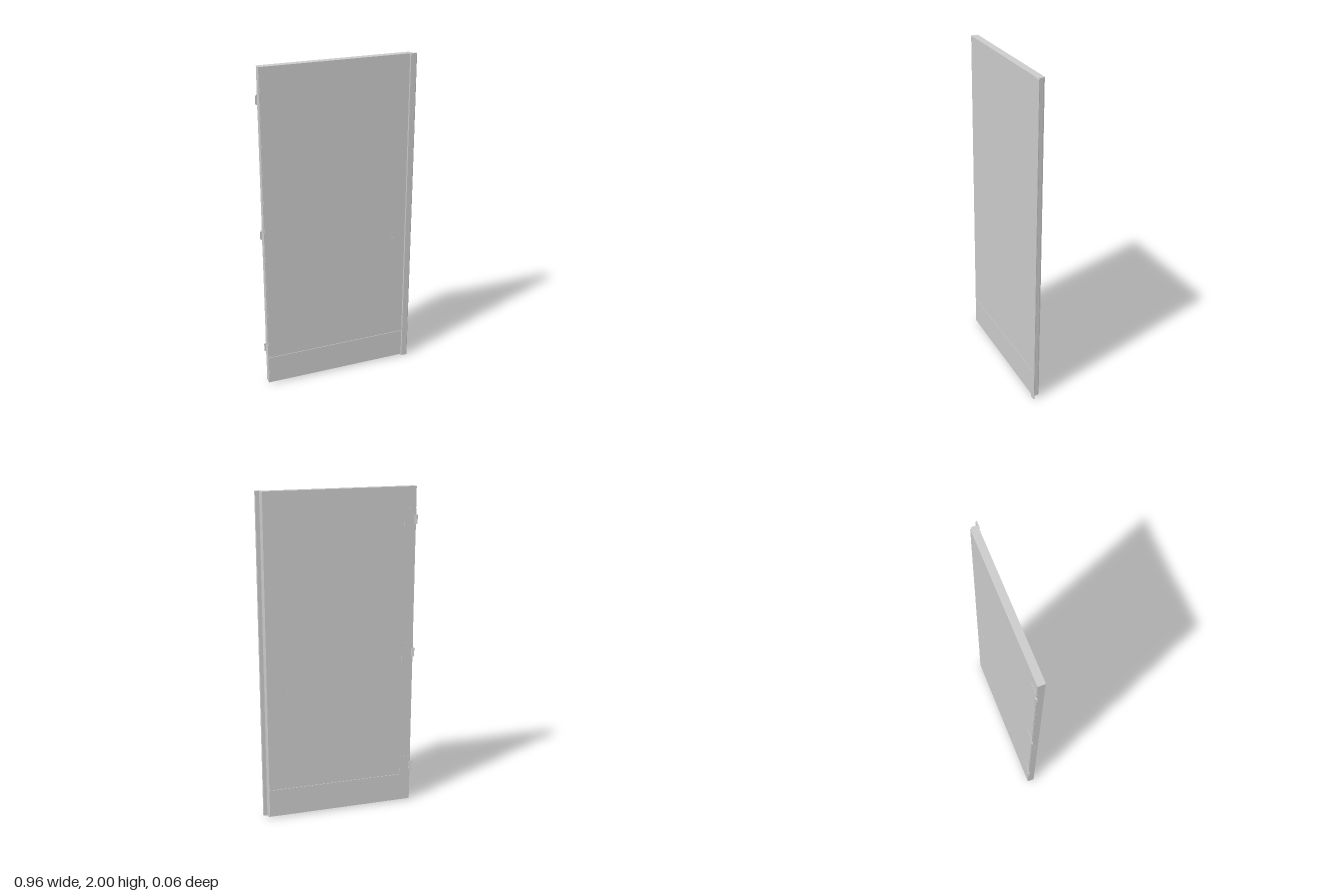
import * as THREE from 'three';

const material = new THREE.MeshStandardMaterial({ color: 0xcccccc, flatShading: true });

export function createModel() {
  const door = new THREE.Group();
  door.name = 'door';

  const add = (name, geometry, parent = door) => {
    const mesh = new THREE.Mesh(geometry, material);
    mesh.name = name;
    parent.add(mesh);
    return mesh;
  };
  // Box given by its lower and upper corners
  const box = (name, [x0, y0, z0], [x1, y1, z1], parent) => {
    const mesh = add(name, new THREE.BoxGeometry(x1 - x0, y1 - y0, z1 - z0), parent);
    mesh.position.set((x0 + x1) / 2, (y0 + y1) / 2, (z0 + z1) / 2);
    return mesh;
  };
  // Outline in plan (x, z) raised from y0 to y1, with an optional hole
  const plan = (name, points, y0, y1, hole, parent) => {
    const toPath = (list) => list.map(([x, z]) => new THREE.Vector2(x, -z));
    const shape = new THREE.Shape(toPath(points));
    if (hole) shape.holes.push(new THREE.Path(toPath(hole)));
    const geometry = new THREE.ExtrudeGeometry(shape, { depth: y1 - y0, bevelEnabled: false });
    geometry.rotateX(-Math.PI / 2);
    geometry.translate(0, y0, 0);
    return add(name, geometry, parent);
  };

  // Slab with a chamfered closing edge and a groove along the bottom
  const outline = [
    [-0.471, -0.018], [0.445, -0.018], [0.454, -0.011],
    [0.454, 0.012], [0.449, 0.019], [-0.471, 0.019],
  ];
  const groove = [[-0.463, -0.011], [0.442, -0.011], [0.442, 0.012], [-0.463, 0.012]];
  plan('slab', outline, 0.02, 2);
  plan('bottomRim', outline, 0.006, 0.02, groove);

  // Thin face sheets and the kick plates below them
  for (const [side, z0, z1, right] of [['front', 0.019, 0.0225, 0.437], ['back', -0.0215, -0.018, 0.445]]) {
    box(side + 'Sheet', [-0.468, 0.187, z0], [right, 2, z1]);
    box(side + 'KickPlate', [-0.468, 0.008, z0], [right, 0.184, z1]);
  }

  // Overlapping strip on the closing edge
  plan('edgeStrip', [
    [0.436, 0.019], [0.474, 0.019], [0.478, 0.022],
    [0.478, 0.026], [0.475, 0.028], [0.44, 0.028], [0.436, 0.025],
  ], 0, 2);

  // Hinges on the back: flat leaf and a slanted knuckle with a pin
  for (const y of [0.24, 0.995, 1.808]) {
    const hinge = new THREE.Group();
    hinge.name = 'hinge';
    hinge.position.y = y;
    door.add(hinge);
    box('hingeLeaf', [-0.47, -0.065, -0.0235], [-0.4, 0.065, -0.021], hinge);
    plan('hingeKnuckle', [
      [-0.482, -0.019], [-0.476, -0.031], [-0.462, -0.026], [-0.458, -0.02], [-0.468, -0.018],
    ], -0.024, 0.024, null, hinge);
    const pin = add('hingePin', new THREE.CylinderGeometry(0.004, 0.004, 0.056, 12), hinge);
    pin.position.set(-0.472, 0, -0.025);
  }

  // Small pull on the front, lock cylinder on the back
  box('frontPull', [0.346, 0.857, 0.022], [0.37, 0.863, 0.025]);
  const lock = add('lockCylinder', new THREE.CylinderGeometry(0.006, 0.006, 0.003, 16));
  lock.rotation.x = Math.PI / 2;
  lock.position.set(0.322, 0.82, -0.0225);

  // Plate let into the hinge edge
  box('edgePlate', [-0.473, 0.82, -0.008], [-0.47, 0.88, 0.008]);

  return door;
}
